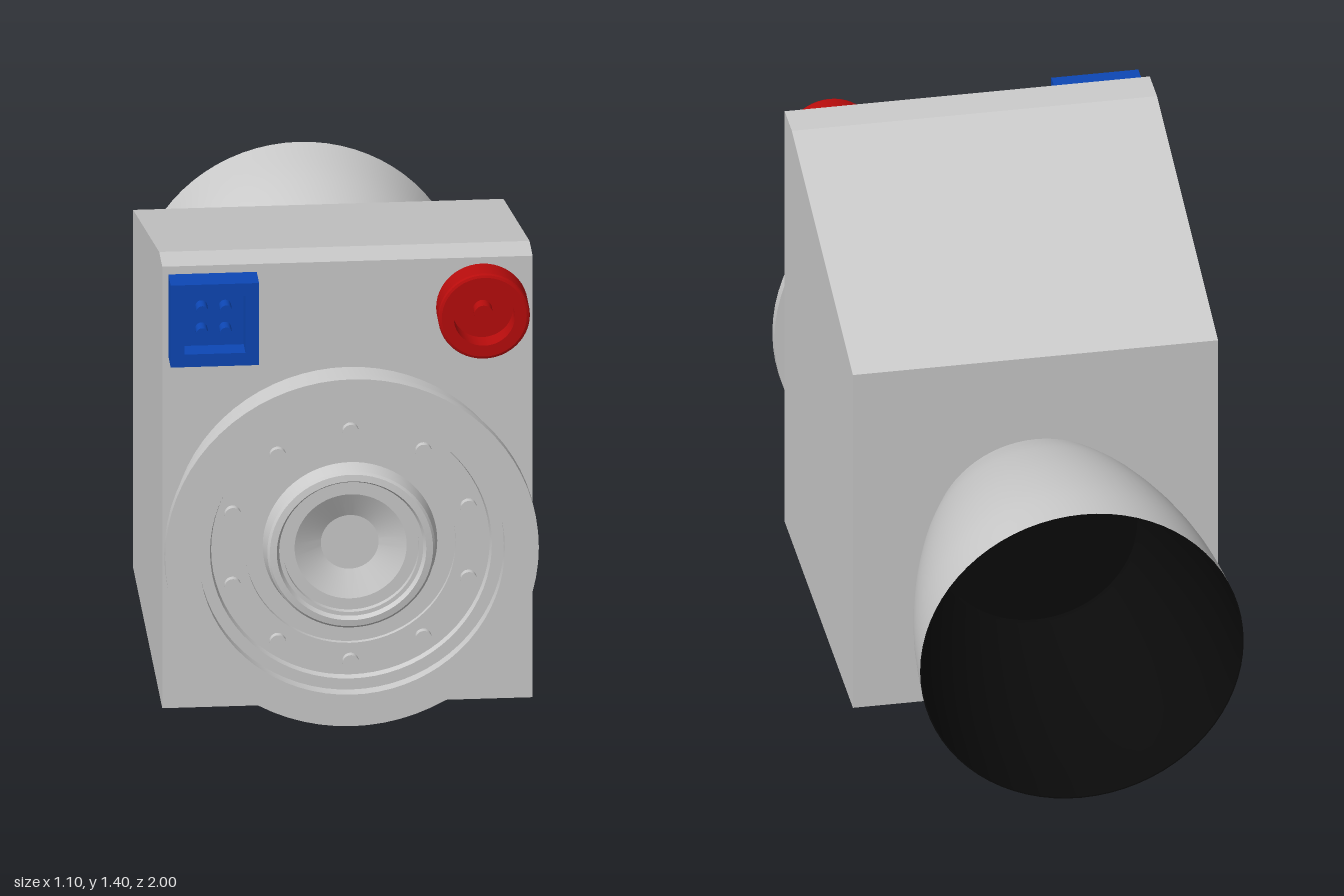
import * as THREE from 'three';
import { toCreasedNormals } from 'three/addons/utils/BufferGeometryUtils.js';

const grey = new THREE.MeshStandardMaterial({ color: 0xcccccc });
const blue = new THREE.MeshStandardMaterial({ color: 0x0d47b5 });
const red = new THREE.MeshStandardMaterial({ color: 0xb80c0c });
const black = new THREE.MeshStandardMaterial({ color: 0x0a0a0a });

const AXIS_Y = 0.55;

function addMesh(parent, name, geometry, material, x = 0, y = 0, z = 0) {
  const mesh = new THREE.Mesh(geometry, material);
  mesh.name = name;
  mesh.position.set(x, y, z);
  parent.add(mesh);
  return mesh;
}

// Turned part along z from [radius, z] pairs
function turned(profile, segments = 72) {
  const points = profile.map(([r, z]) => new THREE.Vector2(r, z));
  const geometry = new THREE.LatheGeometry(points, segments).rotateX(Math.PI / 2);
  return toCreasedNormals(geometry, 0.4);
}

function square(half, Type) {
  return new Type([[-half, -half], [half, -half], [half, half], [-half, half]]
    .map(([x, y]) => new THREE.Vector2(x, y)));
}

function pin(radius, length) {
  return new THREE.CylinderGeometry(radius, radius, length, 20).rotateX(Math.PI / 2);
}

export function createModel() {
  const model = new THREE.Group();
  model.name = 'thrusterUnit';

  // Housing with a sloping roof, side profile in (z, y)
  const side = new THREE.Shape([[-0.26, 0.005], [0.83, 0.005], [0.83, 1.405], [0.715, 1.405], [-0.26, 1.14]]
    .map(([z, y]) => new THREE.Vector2(z, y)));
  const housing = new THREE.ExtrudeGeometry(side, { depth: 1.09, bevelEnabled: false });
  housing.rotateY(-Math.PI / 2).translate(0.545, 0, 0);
  addMesh(model, 'housing', housing, grey);

  // Front coupling: neck, flange, recessed bolt plate, raised hub and dished centre
  const coupling = new THREE.Group();
  coupling.name = 'frontCoupling';
  coupling.position.y = AXIS_Y;
  model.add(coupling);
  addMesh(coupling, 'flange', turned([
    [0.52, 0.83], [0.52, 0.965], [0.55, 0.965], [0.55, 1.0],
    [0.45, 1.0], [0.45, 0.96], [0.415, 0.96], [0.41, 0.94],
    [0.31, 0.94], [0.31, 0.925], [0.257, 0.925], [0.247, 0.975],
    [0.24, 0.982], [0.22, 0.985], [0.212, 0.97], [0.2, 0.97],
    [0.2, 0.95], [0.165, 0.95], [0.085, 0.915], [0, 0.915],
  ]), grey);
  for (let i = 0; i < 10; i++) {
    const a = (i / 10) * Math.PI * 2;
    addMesh(coupling, 'bolt', pin(0.024, 0.03), grey, 0.365 * Math.sin(a), 0.365 * Math.cos(a), 0.945);
  }

  // Rear nozzle: flared bell with a dark lining
  const bell = new THREE.SplineCurve([[0.483, -1], [0.464, -0.8], [0.425, -0.6], [0.366, -0.4], [0.307, -0.255]]
    .map(([r, z]) => new THREE.Vector2(r, z))).getPoints(24).map((p) => [p.x, p.y]);
  const lining = bell.map(([r, z]) => [r - 0.004, Math.min(z, -0.265)]).reverse();
  const nozzle = new THREE.Group();
  nozzle.name = 'nozzle';
  nozzle.position.y = AXIS_Y + 0.003;
  model.add(nozzle);
  addMesh(nozzle, 'nozzleBell', turned(bell), grey);
  addMesh(nozzle, 'nozzleLining', turned([[0, -0.265], ...lining, [0.483, -1]]), black);

  // Square socket with four pins
  const socket = new THREE.Group();
  socket.name = 'squareSocket';
  socket.position.set(-0.397, 1.25, 0.83);
  model.add(socket);
  const frame = square(0.13, THREE.Shape);
  frame.holes.push(square(0.09, THREE.Path));
  addMesh(socket, 'socketFrame', new THREE.ExtrudeGeometry(frame, { depth: 0.087, bevelEnabled: false }), blue);
  addMesh(socket, 'socketFloor', new THREE.BoxGeometry(0.2, 0.2, 0.02), blue, 0, 0, 0.01);
  for (const x of [-0.035, 0.035]) {
    for (const y of [-0.035, 0.035]) addMesh(socket, 'socketPin', pin(0.018, 0.05), blue, x, y, 0.04);
  }

  // Round socket with one pin
  const round = new THREE.Group();
  round.name = 'roundSocket';
  round.position.set(0.396, 1.25, 0.83);
  model.add(round);
  addMesh(round, 'roundSocketShell', turned([
    [0.135, 0], [0.135, 0.077], [0.132, 0.084], [0.125, 0.087],
    [0.09, 0.087], [0.09, 0.02], [0, 0.02],
  ], 48), red);
  addMesh(round, 'roundSocketPin', pin(0.028, 0.05), red, 0, 0, 0.04);

  return model;
}
